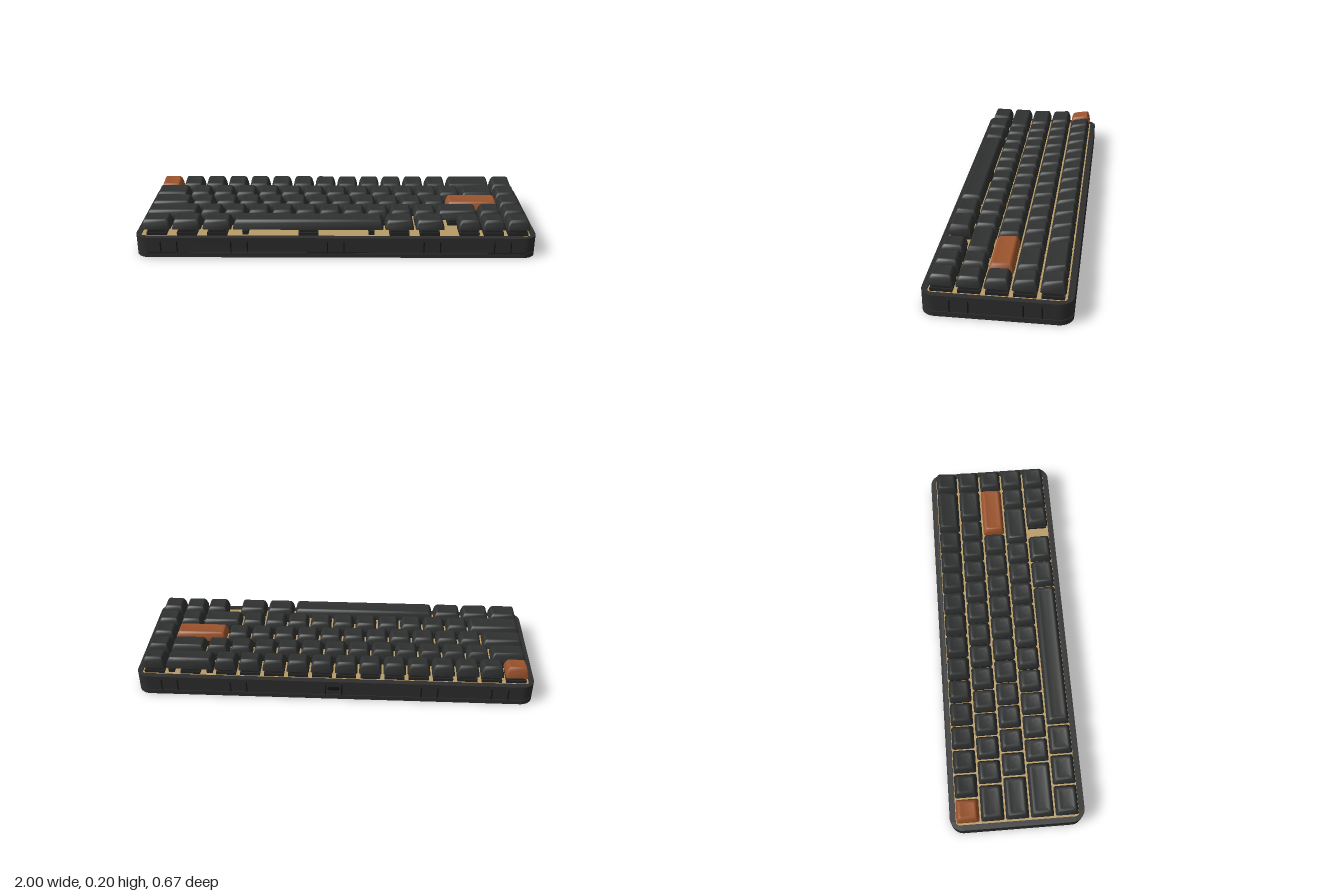
import * as THREE from 'three';
import { toCreasedNormals } from 'three/addons/utils/BufferGeometryUtils.js';

const mat = (name, color) => {
  const m = new THREE.MeshStandardMaterial({ color });
  m.name = name;
  return m;
};

// Rounded rectangle outline, used for the case and every keycap ring
function roundedRect(w, d, r, Type = THREE.Shape) {
  const s = new Type(), x = w / 2, y = d / 2, h = Math.PI / 2;
  s.moveTo(x, -y + r);
  s.absarc(x - r, y - r, r, 0, h);
  s.absarc(-x + r, y - r, r, h, 2 * h);
  s.absarc(-x + r, -y + r, r, 2 * h, 3 * h);
  s.absarc(x - r, -y + r, r, 3 * h, 4 * h);
  return s;
}

// Horizontal slab from y0 to y1
function slab(shape, y0, y1) {
  const g = new THREE.ExtrudeGeometry(shape, { depth: y1 - y0, bevelEnabled: false, curveSegments: 10 });
  g.rotateX(-Math.PI / 2).translate(0, y0, 0);
  return toCreasedNormals(g, 0.6);
}

// Keycap lofted through shrinking rounded rectangles, with a sloped, dished top
function keycapGeometry(w, d, frontH, backH) {
  const rings = [ // height fraction, inset, dip
    [0, 0, 0], [0.3, 0.002, 0], [0.6, 0.006, 0], [0.85, 0.011, 0], [0.96, 0.015, 0],
    [1, 0.02, 0], [1, 0.027, 0.002], [1, 0.038, 0.0035]];
  const steps = 4, n = 4 * (steps + 1), pos = [], idx = [];
  for (const [t, inset, dip] of rings) {
    const hx = w / 2 - inset, hz = d / 2 - inset, r = 0.009;
    for (let c = 0; c < 4; c++) {
      const sx = c === 0 || c === 3 ? 1 : -1, sz = c < 2 ? 1 : -1;
      for (let k = 0; k <= steps; k++) {
        const a = (c + k / steps) * Math.PI / 2;
        const x = sx * (hx - r) + r * Math.cos(a), z = sz * (hz - r) + r * Math.sin(a);
        const f = THREE.MathUtils.clamp(z / (d - 0.03) + 0.5, 0, 1);
        pos.push(x, t * (backH + (frontH - backH) * f) - dip, z);
      }
    }
  }
  for (let i = 0; i < rings.length - 1; i++) {
    for (let j = 0; j < n; j++) {
      const a = i * n + j, b = i * n + (j + 1) % n;
      idx.push(a, a + n, b, b, a + n, b + n);
    }
  }
  // Close the dish and the underside
  const last = (rings.length - 1) * n, top = pos.length / 3;
  pos.push(0, (frontH + backH) / 2 - 0.004, 0, 0, 0, 0);
  for (let j = 0; j < n; j++) {
    const k = (j + 1) % n;
    idx.push(last + j, top, last + k, j, k, top + 1);
  }
  const g = new THREE.BufferGeometry();
  g.setAttribute('position', new THREE.Float32BufferAttribute(pos, 3));
  g.setIndex(idx);
  return toCreasedNormals(g, 0.8);
}

export function createModel() {
  const caseMat = mat('case charcoal', 0x2e2e2f);
  const capMat = mat('keycap charcoal', 0x2f3030);
  const accentMat = mat('accent copper', 0x9a532c);
  const plateMat = mat('plate brass', 0xb89c66);
  const switchMat = mat('switch black', 0x242425);
  const grooveMat = mat('groove black', 0x151516);

  const model = new THREE.Group();
  model.name = 'keyboard';
  const add = (parent, name, geo, material, x = 0, y = 0, z = 0) => {
    const m = new THREE.Mesh(geo, material);
    m.name = name;
    m.position.set(x, y, z);
    parent.add(m);
    return m;
  };
  const box = (w, h, d) => new THREE.BoxGeometry(w, h, d);

  // Case: base, recessed seam, upper frame and mounting plate
  const W = 2, D = 0.666, R = 0.065;
  const caseGroup = new THREE.Group();
  caseGroup.name = 'case';
  model.add(caseGroup);
  add(caseGroup, 'caseBase', slab(roundedRect(W, D, R), 0, 0.0245), caseMat);
  add(caseGroup, 'caseSeam', slab(roundedRect(W - 0.008, D - 0.008, R - 0.004), 0.0245, 0.0275), grooveMat);
  const frame = roundedRect(W, D, R);
  frame.holes.push(roundedRect(1.946, 0.608, 0.02, THREE.Path));
  add(caseGroup, 'caseFrame', slab(frame, 0.0275, 0.107), caseMat);
  add(caseGroup, 'mountingPlate', box(1.946, 0.01, 0.608), plateMat, 0, 0.097, 0);

  // Vertical grooves in pairs around the sides
  const gy = 0.057, gh = 0.06;
  for (const side of [-1, 1]) {
    for (const c of [-0.83, -0.48, 0, 0.48, 0.83])
      for (const o of [-0.041, 0.041])
        add(caseGroup, 'sideGroove', box(0.006, gh, 0.002), grooveMat, c + o, gy, side * D / 2);
    for (const c of [-0.16, 0.16])
      for (const o of [-0.041, 0.041])
        add(caseGroup, 'endGroove', box(0.002, gh, 0.006), grooveMat, side * W / 2, gy, c + o);
  }

  // Cable port in the back
  const port = new THREE.ExtrudeGeometry(roundedRect(0.06, 0.022, 0.0105), { depth: 0.003, bevelEnabled: false });
  add(caseGroup, 'cablePort', port, grooveMat, 0, 0.066, -D / 2 - 0.0015);

  // Key rows from back to front: widths in key units, negative means a gap
  const ones = n => Array(n).fill(1);
  const rows = [
    { keys: [...ones(13), 2, 1], front: 0.045, back: 0.059, accent: 0 },
    { keys: [1.5, ...ones(12), 1.5, 1], front: 0.045, back: 0.053 },
    { keys: [1.75, ...ones(11), 2.25, 1], front: 0.044, back: 0.049, accent: 12 },
    { keys: [2.25, ...ones(10), 1.75, 1, 1], front: 0.047, back: 0.048 },
    { keys: [1.25, 1.25, 1.25, 6.25, 1.25, 1.25, -0.5, 1, 1, 1], front: 0.048, back: 0.048 }];
  const U = 0.1214, capY = 0.137, gap = 0.0085;
  const housing = box(0.1, 0.017, 0.1), upper = box(0.084, 0.012, 0.084);
  const stem = box(0.024, 0.012, 0.024), stabilizer = box(0.03, 0.022, 0.08);

  rows.forEach((row, r) => {
    const group = new THREE.Group();
    group.name = 'keyRow' + (r + 1);
    group.position.z = (r - 2) * U;
    model.add(group);
    const caps = {};
    let x = -8 * U;
    row.keys.forEach((units, i) => {
      const w = Math.abs(units) * U, cx = x + w / 2;
      x += w;
      if (units < 0) return;
      caps[units] ??= keycapGeometry(w - gap, U - gap, row.front, row.back);
      add(group, 'keycap', caps[units], row.accent === i ? accentMat : capMat, cx, capY, 0);
      add(group, 'switchHousing', housing, switchMat, cx, 0.1085, 0);
      add(group, 'switchTop', upper, switchMat, cx, 0.123, 0);
      add(group, 'switchStem', stem, accentMat, cx, 0.134, 0);
      // Stabilizers under the wide keys
      if (units >= 2) {
        const o = units > 3 ? 2.6 * U : 0.8 * U;
        for (const s of [-1, 1]) add(group, 'stabilizer', stabilizer, switchMat, cx + s * o, 0.112, 0);
      }
    });
  });
  return model;
}
